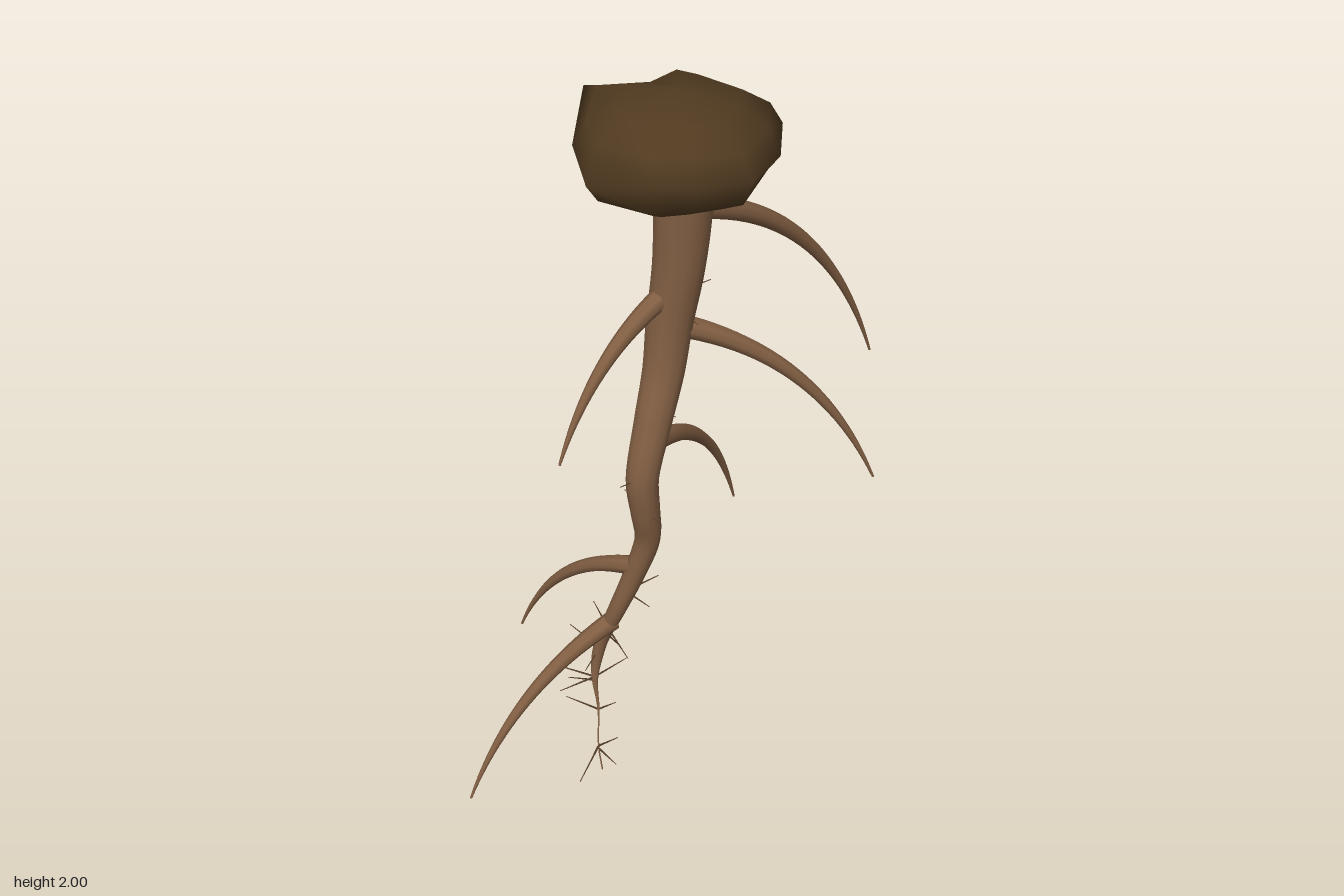
import * as THREE from 'three';
import { mergeVertices } from 'three/addons/utils/BufferGeometryUtils.js';

const V = (p) => new THREE.Vector3(...p);

// Tube whose radius changes along the curve
function taperedTube(curve, radiusAt, segments, sides) {
  const geo = new THREE.TubeGeometry(curve, segments, 1, sides, false);
  const pos = geo.attributes.position;
  const c = new THREE.Vector3(), v = new THREE.Vector3();
  for (let i = 0; i <= segments; i++) {
    curve.getPointAt(i / segments, c);
    const r = radiusAt(i / segments, c);
    for (let j = 0; j <= sides; j++) {
      const k = i * (sides + 1) + j;
      v.fromBufferAttribute(pos, k).sub(c).multiplyScalar(r).add(c);
      pos.setXYZ(k, v.x, v.y, v.z);
    }
  }
  return geo;
}

// Lumpy clod: one irregular outline repeated at several scales and heights
function clodGeometry() {
  const outline = [
    [-0.155, 1.945, -0.12], [-0.055, 1.88, -0.075], [0.085, 1.85, -0.095], [0.12, 1.85, -0.015],
    [0.165, 1.87, 0.185], [0.07, 1.86, 0.285], [-0.075, 1.875, 0.36], [-0.18, 1.87, 0.295],
    [-0.255, 1.875, 0.235], [-0.307, 1.83, 0.085], [-0.26, 1.87, -0.025],
  ];
  const cx = -0.07, cz = 0.11, n = outline.length;
  // Each ring: scale, height (null keeps the outline's own), tilt towards +x
  const rings = [
    [0, 2.0, 0], [0.6, 1.968, 0], [0.87, 1.925, 0], [1, null, 0],
    [0.88, 1.81, 0.1], [0.62, 1.772, 0.08], [0, 1.752, 0],
  ];
  const verts = [], index = [];
  rings.forEach(([s, y, tilt], r) => {
    outline.forEach(([x, oy, z], j) => {
      // The back corner stays level with the top
      const lift = r === 2 && j === 0 ? 0.027 : 0;
      verts.push(cx + (x - cx) * s, (y ?? oy) + lift + tilt * (x - cx), cz + (z - cz) * s);
      if (r === 0) return;
      const k = (j + 1) % n, a = (r - 1) * n, b = r * n;
      if (r < rings.length - 1) index.push(a + k, b + k, b + j);
      if (r > 1) index.push(a + k, b + j, a + j);
    });
  });
  let geo = new THREE.BufferGeometry();
  geo.setAttribute('position', new THREE.Float32BufferAttribute(verts, 3));
  geo.setIndex(index);
  geo = mergeVertices(geo, 1e-4);
  geo.computeVertexNormals();
  return geo;
}

export function createModel() {
  const group = new THREE.Group();
  group.name = 'root';
  const soil = new THREE.MeshStandardMaterial({ color: 0x503a20 });
  soil.name = 'soil';
  const bark = new THREE.MeshStandardMaterial({ color: 0x825f43 });
  bark.name = 'bark';
  const hair = new THREE.MeshStandardMaterial({ color: 0x5a422c });
  hair.name = 'rootHair';

  const add = (name, geo, mat, parent = group) => {
    const mesh = new THREE.Mesh(geo, mat);
    mesh.name = name;
    parent.add(mesh);
    return mesh;
  };

  add('soilClod', clodGeometry(), soil);

  // Main root, winding down to a fine tip
  const path = [
    [-0.065, 1.82, 0.125], [-0.067, 1.58, 0.11], [-0.083, 1.4, 0.092], [-0.1, 1.28, 0.092],
    [-0.14, 1.15, 0.1], [-0.178, 1.0, 0.105], [-0.166, 0.89, 0.1], [-0.148, 0.79, 0.085],
    [-0.165, 0.67, 0.055], [-0.2, 0.52, 0.012], [-0.215, 0.4, -0.032], [-0.232, 0.28, -0.04],
    [-0.238, 0.18, -0.02], [-0.262, 0.08, 0.008], [-0.26, 0.0, 0.02],
  ].map(V);
  const mainRadius = (u, p) => {
    const thinning = THREE.MathUtils.clamp((0.35 - p.y) / 0.12, 0, 1);
    return Math.max(0.002, 0.002 + 0.039 * p.y - 0.006 * thinning);
  };
  add('mainRoot', taperedTube(new THREE.CatmullRomCurve3(path), mainRadius, 72, 12), bark);

  // Side roots: leave the main root almost level, then droop
  const sideRoots = [
    [[-0.02, 1.69, 0.112], [0.625, 1.012, 0.055], 0.03],
    [[-0.07, 1.395, 0.105], [0.376, 0.878, 0.338], 0.029],
    [[-0.13, 1.09, 0.1], [0.297, 0.593, -0.1], 0.027],
    [[-0.1, 1.49, 0.1], [-0.422, 1.155, 0.108], 0.027],
    [[-0.195, 0.488, 0.0], [-0.628, 0.063, -0.065], 0.026],
    [[-0.165, 0.69, 0.06], [-0.243, 0.257, -0.358], 0.026],
  ];
  for (const [a, b, r] of sideRoots) {
    const bend = [0.68, 0.23, 0.68].map((f, i) => a[i] + (b[i] - a[i]) * f);
    const curve = new THREE.QuadraticBezierCurve3(V(a), V(bend), V(b));
    add('sideRoot', taperedTube(curve, (u) => r * (1 - u) + 0.003 * u, 24, 8), bark);
  }

  // Root hairs: height on the main root, then the tip position
  const hairs = [
    [1.48, 0.035, 1.475, 0.1], [1.46, -0.07, 1.43, 0.18], [1.17, -0.07, 1.13, 0.1],
    [1.0, -0.25, 1.01, 0.11], [0.9, -0.17, 0.89, 0.15], [0.92, -0.16, 0.9, 0.01],
    [0.67, -0.11, 0.71, 0.05], [0.6, -0.07, 0.59, 0.03], [0.6, -0.18, 0.61, 0.13],
    [0.46, -0.29, 0.46, 0.0], [0.46, -0.22, 0.43, 0.09], [0.44, -0.16, 0.36, -0.02],
    [0.46, -0.2, 0.5, -0.08], [0.38, -0.25, 0.42, -0.12], [0.38, -0.27, 0.33, -0.03],
    [0.28, -0.34, 0.285, -0.05], [0.28, -0.125, 0.285, -0.04], [0.28, -0.3, 0.29, -0.15],
    [0.27, -0.245, 0.21, -0.145], [0.18, -0.18, 0.17, -0.02], [0.18, -0.3, 0.22, -0.08],
    [0.08, -0.375, 0.07, 0.075], [0.08, -0.19, 0.06, 0.0], [0.07, -0.25, 0.05, 0.07],
  ];
  const hairGroup = new THREE.Group();
  hairGroup.name = 'rootHairs';
  group.add(hairGroup);
  for (const [y, ...end] of hairs) {
    const i = path.findIndex((p) => p.y <= y);
    const lo = path[i], hi = path[i - 1];
    const start = lo.clone().lerp(hi, (y - lo.y) / (hi.y - lo.y));
    const dir = V(end).sub(start);
    const mesh = add('rootHair', new THREE.CylinderGeometry(0.001, 0.003, dir.length(), 5), hair, hairGroup);
    mesh.position.copy(start).addScaledVector(dir, 0.5);
    mesh.quaternion.setFromUnitVectors(new THREE.Vector3(0, 1, 0), dir.normalize());
  }
  return group;
}
